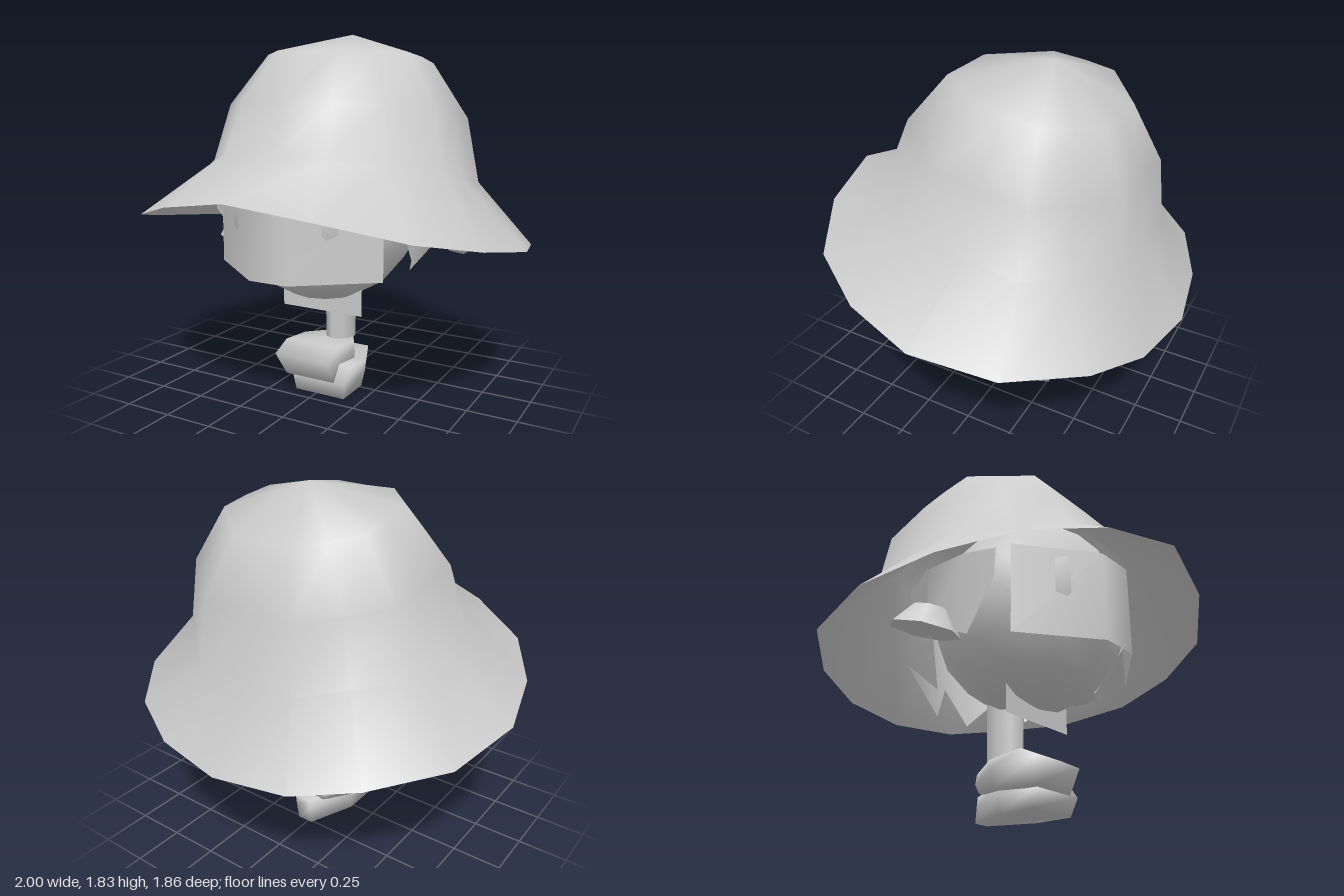
import * as THREE from 'three';

const grey = new THREE.MeshStandardMaterial({ color: 0xcccccc, side: THREE.DoubleSide });
const SIDES = 16;

// Tilted octagonal crown ring: half width, front/back z, front/back y,
// lift raises the flanks, which also sit a little further back
function crownRing(w, zF, zB, yF, yB, lift) {
  const pts = [];
  for (let k = 0; k < SIDES; k++) {
    const a = (k / SIDES) * Math.PI * 2;
    const f = k % 2 ? 1 / Math.cos(Math.PI / 8) : 1;
    const t = (1 + Math.cos(a) * f) / 2;
    const flank = Math.sin(a) ** 2;
    pts.push([w * Math.sin(a) * f, yB + (yF - yB) * t + lift * flank, zB + (zF - zB) * t - 0.05 * flank]);
  }
  return pts;
}

// Foot outline: square toe narrowing to the heel
function footRing(cx, w, zF, zB, yF, yB) {
  const yM = (yF + yB) / 2;
  return [
    [cx - w, yF, zF], [cx + w, yF, zF], [cx + w, yM, -0.02],
    [cx + w * 0.3, yB, zB], [cx - w * 0.3, yB, zB], [cx - w, yM, -0.02],
  ];
}

// Skin rows of points; closed rows wrap round, caps are fans to a given point
function loft(rows, { closed = true, top, bottom } = {}) {
  const n = rows[0].length;
  const pos = rows.flat(2);
  const index = [];
  const span = closed ? n : n - 1;
  for (let i = 0; i < rows.length - 1; i++) {
    for (let k = 0; k < span; k++) {
      const a = i * n + k, b = i * n + ((k + 1) % n);
      index.push(a, b, b + n, a, b + n, a + n);
    }
  }
  const cap = (point, start, flip) => {
    const c = pos.length / 3;
    pos.push(...point);
    for (let k = 0; k < n; k++) {
      const a = start + k, b = start + ((k + 1) % n);
      index.push(...(flip ? [b, a, c] : [a, b, c]));
    }
  };
  if (top) cap(top, (rows.length - 1) * n, false);
  if (bottom) cap(bottom, 0, true);
  const g = new THREE.BufferGeometry();
  g.setAttribute('position', new THREE.Float32BufferAttribute(pos, 3));
  g.setIndex(index);
  g.computeVertexNormals();
  return g;
}

const flipX = ([x, y, z]) => [-x, y, z];

export function createModel() {
  const model = new THREE.Group();
  const add = (name, geometry, x = 0, y = 0, z = 0) => {
    const m = new THREE.Mesh(geometry, grey);
    m.name = name;
    m.position.set(x, y, z);
    model.add(m);
    return m;
  };

  // Hat: wide tilted brim rising into a faceted crown
  const half = [
    [0, 1.1, 0.93], [0.39, 1.04, 0.84], [0.72, 0.95, 0.64], [0.91, 0.88, 0.33], [1, 0.82, -0.03],
    [0.92, 0.77, -0.43], [0.66, 0.73, -0.73], [0.37, 0.67, -0.87], [0, 0.65, -0.93],
  ];
  const rim = [...half, ...half.slice(1, -1).reverse().map(flipX)];
  add('hat', loft([
    rim,
    crownRing(0.65, 0.55, -0.69, 1.26, 1.03, -0.02),
    crownRing(0.58, 0.45, -0.66, 1.5, 1.34, 0.02),
    crownRing(0.4, 0.26, -0.53, 1.73, 1.62, 0.035),
  ], { top: [0, 1.83, -0.21] }));

  // Head
  add('head', new THREE.SphereGeometry(0.5, 12, 9), 0, 1, 0.08);

  // Face plate: bent band in front of the head
  const bend = [[-0.45, 0.34], [-0.1, 0.61], [0.1, 0.61], [0.45, 0.34]];
  add('facePlate', loft([0.69, 1.14].map((y) => bend.map(([x, z]) => [x, y, z])), { closed: false }));

  // Hair: band round the back of the head with a jagged hem of six points
  const hemSide = [
    [0.52, 0.95, 0.3], [0.5, 0.73, 0.12], [0.54, 0.82, -0.1],
    [0.33, 0.6, -0.24], [0.35, 0.79, -0.46], [0.11, 0.57, -0.47],
  ];
  const hem = [...hemSide, [0, 0.77, -0.54], ...hemSide.slice().reverse().map(flipX)];
  const hairTop = hem.map(([x, , z]) => {
    const r = 0.57 / Math.hypot(x, z);
    return [x * r, 1.12, z * r];
  });
  add('hair', loft([hem, hairTop], { closed: false }));

  // Side ornaments under the brim: a round bun and a flared cup
  const bun = add('leftBun', new THREE.SphereGeometry(0.135, 7, 5), 0.66, 0.89, -0.11);
  bun.scale.set(1, 0.95, 1.2);
  bun.rotation.z = -0.4;
  const cup = add('rightCup', new THREE.CylinderGeometry(0.08, 0.16, 0.11, 7), -0.58, 0.83, -0.06);
  cup.scale.z = 1.2;
  cup.rotation.x = 0.3;

  // Collar plate under the chin
  add('collar', new THREE.PlaneGeometry(0.46, 0.26), 0, 0.56, 0.12);

  // Single leg
  const leg = add('leg', new THREE.CylinderGeometry(0.115, 0.105, 0.42, 8), 0, 0.43, -0.09);
  leg.scale.x = 0.65;

  // Two overlapping feet
  add('upperFoot', loft([
    footRing(-0.02, 0.14, 0.21, -0.2, 0.09, 0.13),
    footRing(-0.035, 0.155, 0.27, -0.21, 0.21, 0.17),
    footRing(-0.035, 0.15, 0.17, -0.2, 0.26, 0.22),
  ], { top: [-0.035, 0.245, 0], bottom: [-0.02, 0.1, 0] }));
  add('lowerFoot', loft([
    footRing(0.02, 0.14, 0.18, -0.26, 0, 0),
    footRing(0.03, 0.15, 0.21, -0.26, 0.09, 0.08),
    footRing(0.035, 0.15, 0.15, -0.26, 0.17, 0.13),
  ], { top: [0.035, 0.15, 0], bottom: [0.02, 0, 0] }));

  return model;
}
